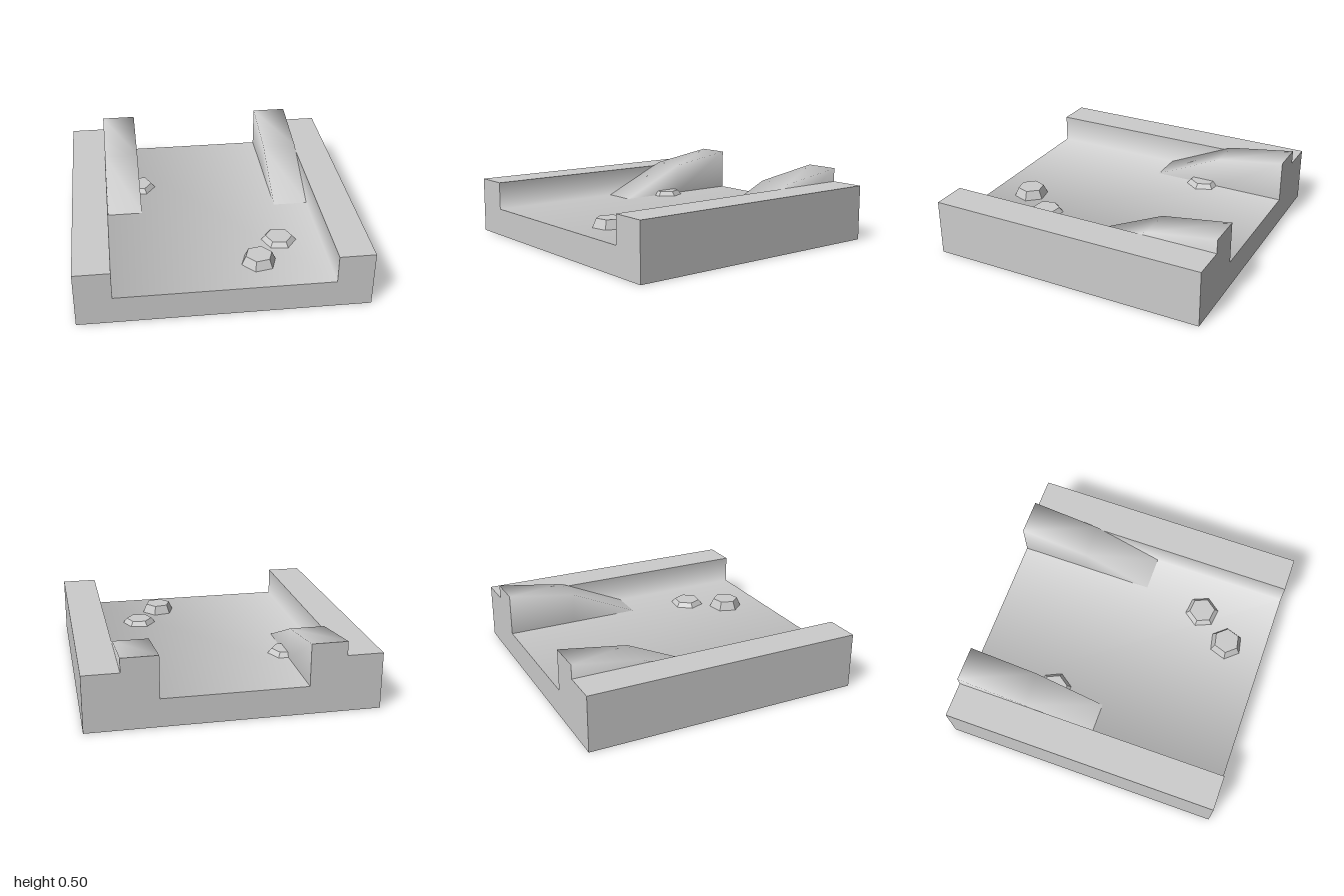
import * as THREE from 'three';

const grey = new THREE.MeshStandardMaterial({ color: 0xcccccc });
const flatGrey = new THREE.MeshStandardMaterial({ color: 0xcccccc, flatShading: true });

function mesh(name, geometry, material = grey) {
  const m = new THREE.Mesh(geometry, material);
  m.name = name;
  return m;
}

// U-shaped slab: floor with a raised wall on each side, extruded along z
function channelGeometry() {
  const profile = [[-1, 0], [1, 0], [1, 0.4], [0.75, 0.4], [0.75, 0.2], [-0.75, 0.2], [-0.75, 0.4], [-1, 0.4]];
  const shape = new THREE.Shape(profile.map(([x, y]) => new THREE.Vector2(x, y)));
  const geo = new THREE.ExtrudeGeometry(shape, { depth: 2, bevelEnabled: false });
  geo.translate(0, 0, -1);
  // soften the shading where floor and inner walls meet
  const { position, normal } = geo.attributes;
  for (let i = 0; i < position.count; i++) {
    if (Math.abs(position.getY(i) - 0.2) < 1e-4 && Math.abs(normal.getZ(i)) < 0.5) {
      normal.setXYZ(i, -Math.sign(position.getX(i)) * 0.5, 0.866, 0);
    }
  }
  return geo;
}

// Soft-shaded ramp rising from the floor to the back edge in two slopes
function rampGeometry() {
  const x0 = -0.125, x1 = 0.125;
  const sections = [[0, 0.2], [-0.5, 0.425], [-1, 0.5]];
  const points = [];
  for (const [z, top] of sections) {
    points.push(x0, 0.2, z, x0, top, z, x1, top, z, x1, 0.2, z);
  }
  const index = [];
  for (let s = 0; s < sections.length - 1; s++) {
    for (let k = 0; k < 3; k++) {
      const a = s * 4 + k, b = a + 1, c = a + 4, d = a + 5;
      index.push(a, b, c, b, d, c);
    }
  }
  const geo = new THREE.BufferGeometry();
  geo.setAttribute('position', new THREE.Float32BufferAttribute(points, 3));
  geo.setIndex(index);
  geo.computeVertexNormals();
  // the tip is collapsed to a line: give its floor corners the normals of its top corners
  const n = geo.attributes.normal;
  for (const [to, from] of [[0, 1], [3, 2]]) n.setXYZ(to, n.getX(from), n.getY(from), n.getZ(from));
  return geo;
}

export function createModel() {
  const model = new THREE.Group();
  model.name = 'channelTile';
  model.add(mesh('channel', channelGeometry()));

  // Ramps against both walls, each closed by a flat back
  for (const [name, side] of [['leftRamp', 1], ['rightRamp', -1]]) {
    const ramp = new THREE.Group();
    ramp.name = name;
    const back = mesh('rampBack', new THREE.PlaneGeometry(0.25, 0.3));
    back.rotation.y = Math.PI;
    back.position.set(0, 0.35, -1);
    ramp.add(mesh('rampSlope', rampGeometry()), back);
    ramp.position.x = side * 0.625;
    model.add(ramp);
  }

  // Six-sided studs on the floor: x, z, height, turn in degrees
  const studs = [[0.265, 0.71, 0.064, 41], [0.45, 0.46, 0.034, 23], [-0.5, -0.38, 0.034, 25]];
  studs.forEach(([x, z, h, turn], i) => {
    const stud = mesh(`stud${i + 1}`, new THREE.CylinderGeometry(0.095, 0.124, h, 6), flatGrey);
    stud.position.set(x, 0.2 + h / 2, z);
    stud.rotation.y = THREE.MathUtils.degToRad(turn);
    model.add(stud);
  });
  return model;
}
